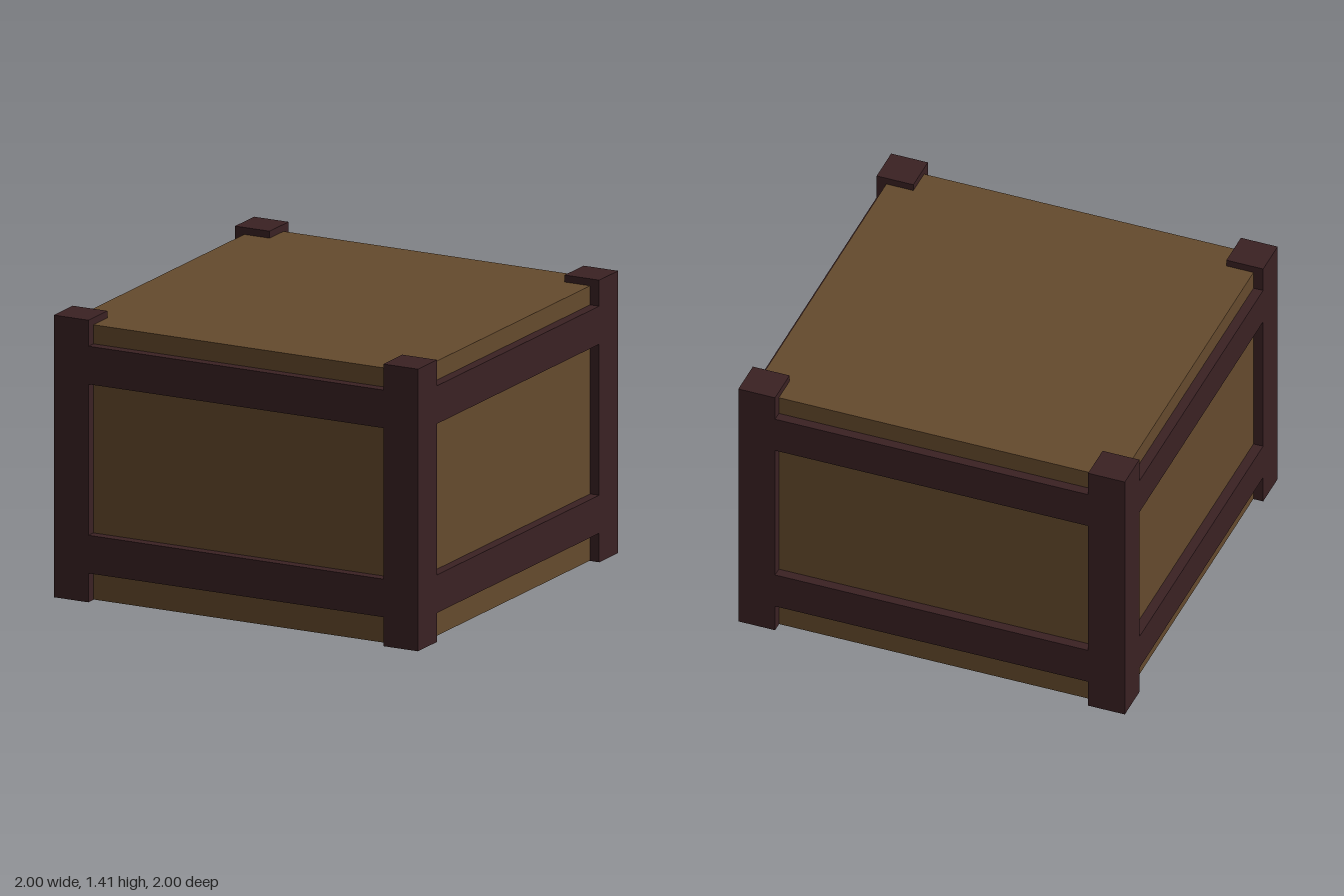
import * as THREE from 'three';

const wood = new THREE.MeshStandardMaterial({ name: 'wood', color: 0x654a2d });
const darkWood = new THREE.MeshStandardMaterial({ name: 'darkWood', color: 0x3a2123 });

const POST = 0.19, POST_HEIGHT = 1.41;
const BODY = 1.9, BODY_TOP = 1.375, BODY_BOTTOM = 0.002;
const RAIL = 0.19, RAIL_DEPTH = 0.06;

function box(name, material, size, position) {
  const mesh = new THREE.Mesh(new THREE.BoxGeometry(...size), material);
  mesh.name = name;
  mesh.position.set(...position);
  return mesh;
}

export function createModel() {
  const crate = new THREE.Group();
  crate.name = 'crate';

  // Solid body, a hair above the post feet
  crate.add(box('body', wood, [BODY, BODY_TOP - BODY_BOTTOM, BODY],
    [0, (BODY_TOP + BODY_BOTTOM) / 2, 0]));

  // Four corner posts
  const c = 1 - POST / 2;
  for (const x of [-c, c]) {
    for (const z of [-c, c]) {
      crate.add(box('cornerPost', darkWood, [POST, POST_HEIGHT, POST], [x, POST_HEIGHT / 2, z]));
    }
  }

  // A lower and an upper rail between the posts on each side
  for (let i = 0; i < 4; i++) {
    const side = new THREE.Group();
    side.name = 'sideRails';
    side.rotation.y = i * Math.PI / 2;
    for (const [name, y] of [['lowerRail', 0.24], ['upperRail', 1.185]]) {
      side.add(box(name, darkWood, [2 - 2 * POST, RAIL, RAIL_DEPTH], [0, y, 1 - RAIL_DEPTH / 2]));
    }
    crate.add(side);
  }
  return crate;
}
